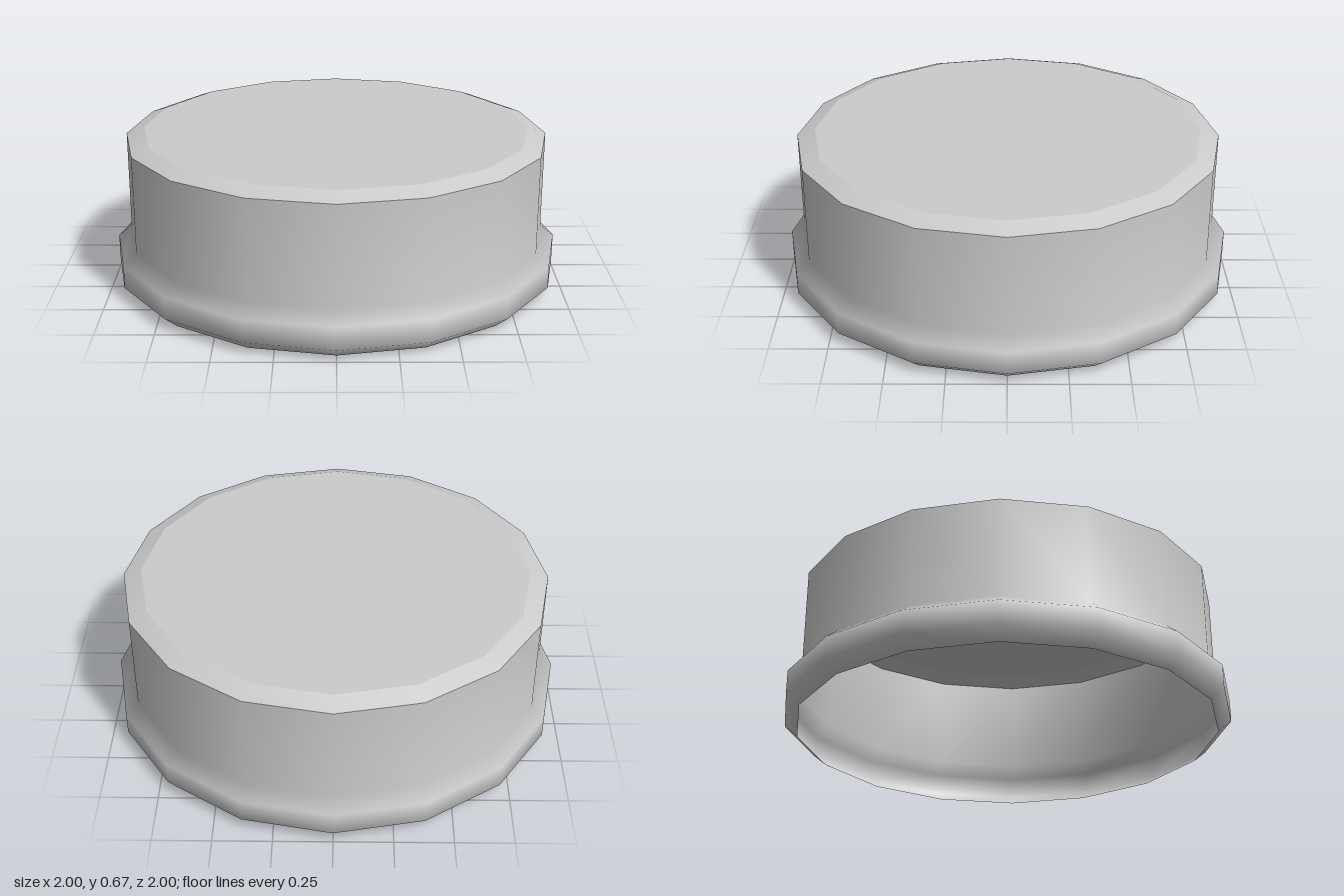
import * as THREE from 'three';
import { mergeVertices } from 'three/addons/utils/BufferGeometryUtils.js';

const SIDES = 16;
const WALL_R = 0.94, TOP_R = 0.86, SHOULDER_Y = 0.64, HEIGHT = 0.67;

// Thin open shell, so both faces show
const material = new THREE.MeshStandardMaterial({ color: 0xcccccc, side: THREE.DoubleSide });

// Turned surface with a seamless, area-weighted smooth shading
function turned(name, profile) {
  let geometry = new THREE.LatheGeometry(profile.map(([r, y]) => new THREE.Vector2(r, y)), SIDES);
  geometry.deleteAttribute('uv');
  geometry.deleteAttribute('normal');
  geometry = mergeVertices(geometry);
  geometry.computeVertexNormals();
  const mesh = new THREE.Mesh(geometry, material);
  mesh.name = name;
  return mesh;
}

export function createModel() {
  const cap = new THREE.Group();
  cap.name = 'cap';

  // Side wall with the bulging bead around the open bottom
  cap.add(turned('wallAndRim', [
    [WALL_R, 0], [1, 0.05], [1, 0.15], [WALL_R, 0.2], [WALL_R, SHOULDER_Y],
  ]));

  // Shallow bevel between wall and top
  cap.add(turned('topBevel', [[WALL_R, SHOULDER_Y], [TOP_R, HEIGHT]]));

  // Flat top
  const top = new THREE.Mesh(new THREE.CircleGeometry(TOP_R, SIDES).rotateX(-Math.PI / 2), material);
  top.position.y = HEIGHT;
  top.name = 'topDisc';
  cap.add(top);

  return cap;
}
